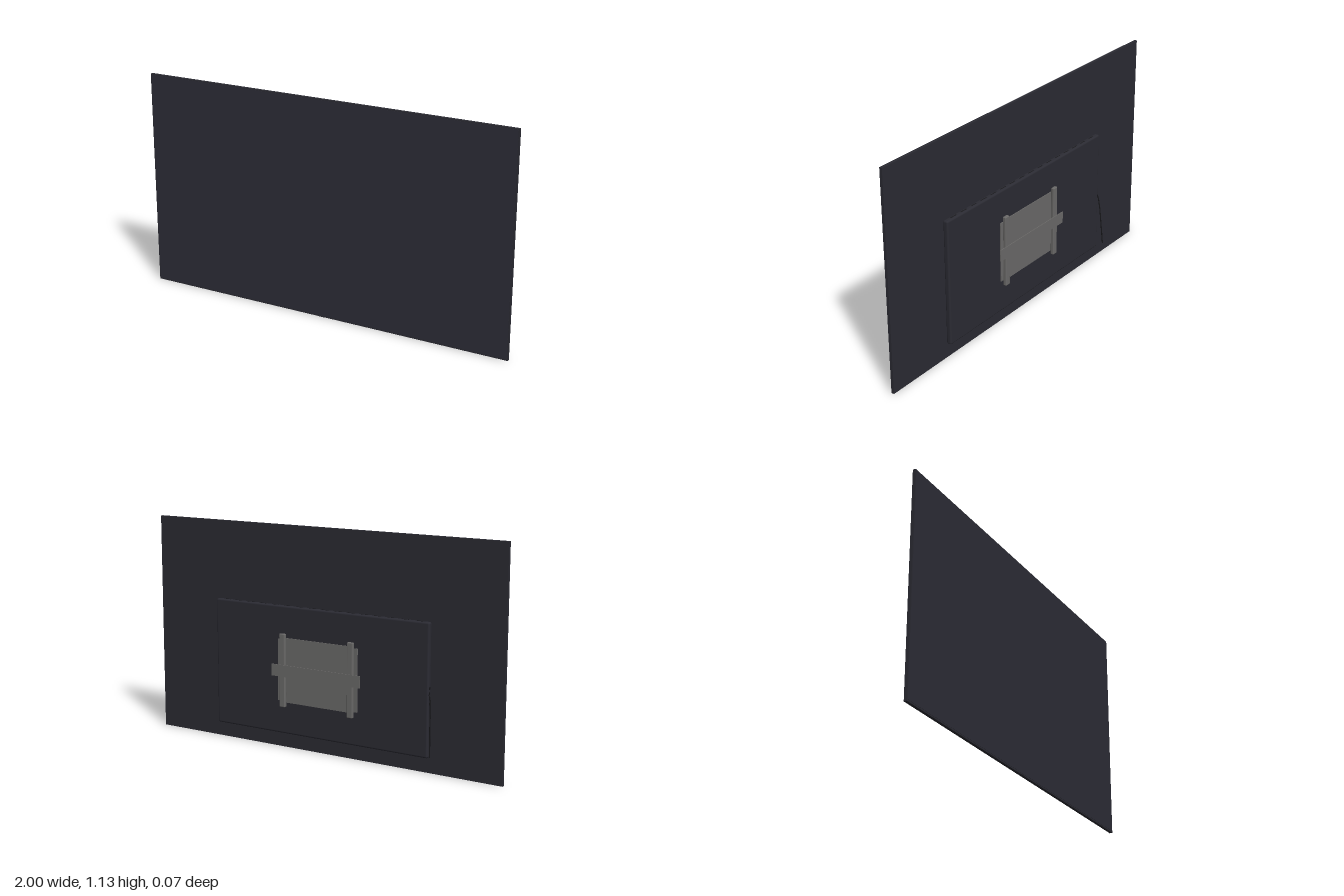
import * as THREE from 'three';
import { RoundedBoxGeometry } from 'three/addons/geometries/RoundedBoxGeometry.js';

const mat = (name, color) => {
  const m = new THREE.MeshStandardMaterial({ color });
  m.name = name;
  return m;
};

export function createModel() {
  const group = new THREE.Group();
  group.name = 'flatScreen';
  const charcoal = mat('charcoal', 0x2b2b33);
  const screenDark = mat('screen dark', 0x2d2d37);
  const steel = mat('bracket grey', 0x6b6a69);
  const black = mat('cable black', 0x18181b);

  const add = (name, geometry, material) => {
    const mesh = new THREE.Mesh(geometry, material);
    mesh.name = name;
    group.add(mesh);
    return mesh;
  };

  // Box given by its limits on each axis, optionally with rounded edges
  const box = (name, material, [x0, x1], [y0, y1], [z0, z1], radius = 0) => {
    const size = [x1 - x0, y1 - y0, z1 - z0];
    const geometry = radius
      ? new RoundedBoxGeometry(...size, 3, radius)
      : new THREE.BoxGeometry(...size);
    const mesh = add(name, geometry, material);
    mesh.position.set((x0 + x1) / 2, (y0 + y1) / 2, (z0 + z1) / 2);
    return mesh;
  };

  // Thin display panel with its front glass and a small sensor on the lower edge
  box('panel', charcoal, [-1, 1], [0, 1.13], [0.017, 0.032]);
  box('screen', screenDark, [-0.995, 0.995], [0.008, 1.125], [0.032, 0.033]);
  box('sensor', charcoal, [-0.018, 0.018], [0, 0.006], [0.03, 0.034]);

  // Electronics housing on the back
  box('rearHousing', charcoal, [-0.62, 0.62], [0.077, 0.73], [-0.01, 0.018], 0.009);

  // Sockets along the right side of the housing
  for (let i = 0; i < 4; i++) {
    const y = 0.335 + i * 0.025;
    box('socket', black, [-0.622, -0.618], [y, y + 0.012], [-0.001, 0.007]);
  }

  // Vent slots along the top of the housing
  for (let i = 0; i < 16; i++) {
    const x = -0.56 + i * 0.0747;
    box('ventSlot', black, [x - 0.02, x + 0.02], [0.728, 0.731], [0.002, 0.006]);
  }

  // Wall bracket: back plate, two upright rails and a cross bar
  box('bracketPlate', steel, [-0.185, 0.185], [0.24, 0.57], [-0.014, -0.009]);
  for (const side of [-1, 1]) {
    const span = (a, b) => (side > 0 ? [a, b] : [-b, -a]);
    box('plateFlange', steel, span(0.185, 0.233), [0.247, 0.563], [-0.015, -0.009]);
    box('bracketRail', steel, span(0.183, 0.215), [0.218, 0.592], [-0.031, -0.013], 0.004);
  }
  box('crossBar', steel, [-0.26, 0.26], [0.375, 0.435], [-0.034, -0.03]);

  // Power cable hanging beside the housing
  const path = new THREE.CatmullRomCurve3([
    new THREE.Vector3(-0.612, 0.395, 0.002),
    new THREE.Vector3(-0.626, 0.375, -0.004),
    new THREE.Vector3(-0.634, 0.32, -0.012),
    new THREE.Vector3(-0.639, 0.21, -0.022),
    new THREE.Vector3(-0.645, 0.092, -0.031),
  ]);
  add('cable', new THREE.TubeGeometry(path, 32, 0.003, 8), black);

  return group;
}
